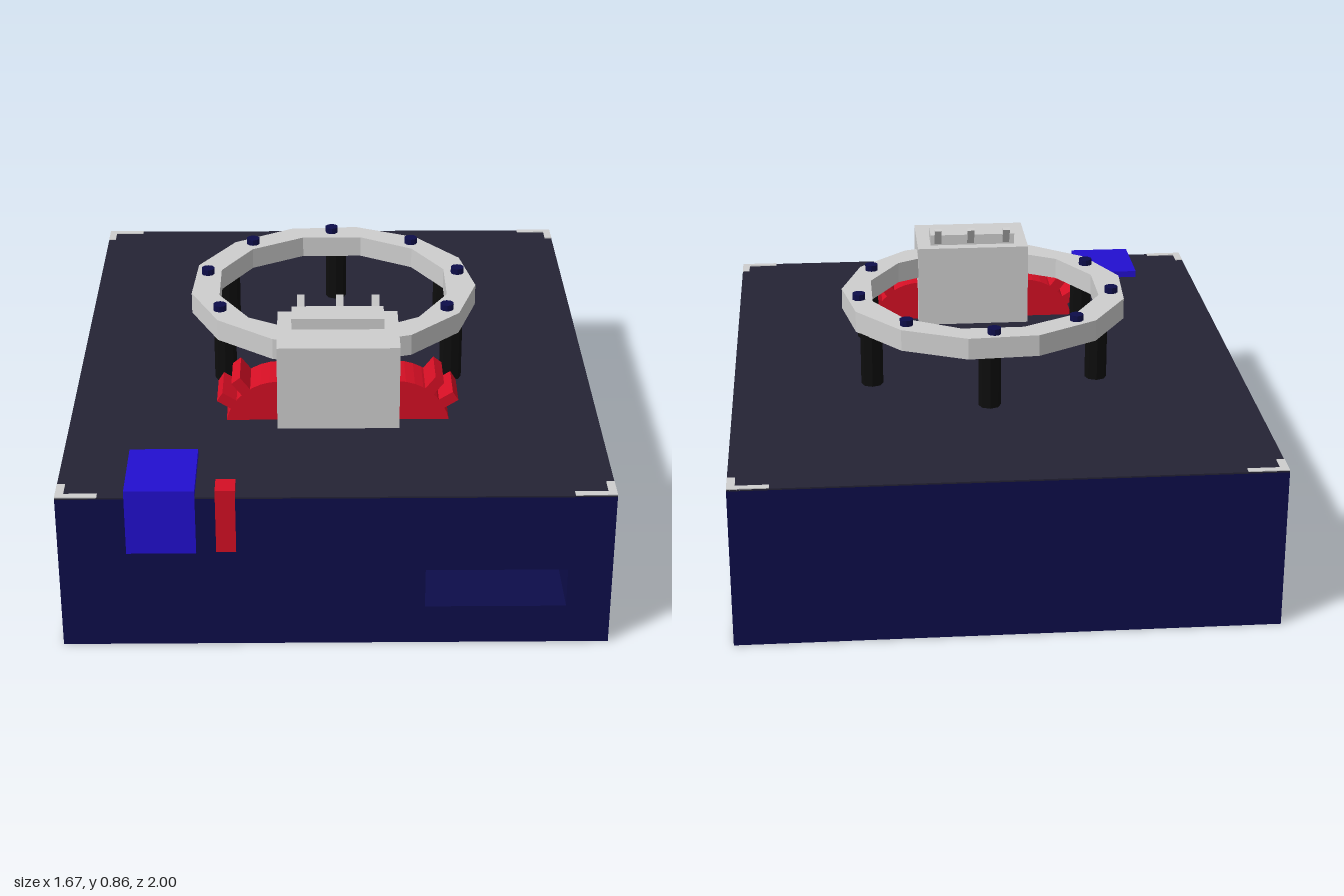
import * as THREE from 'three';

const mat = (name, color, flat = true) => {
  const m = new THREE.MeshStandardMaterial({ color });
  m.name = name;
  m.flatShading = flat;
  return m;
};

export function createModel() {
  const navy = mat('navy', 0x0d0d4a);
  const charcoal = mat('charcoal', 0x242335);
  const grey = mat('light grey', 0xcecece);
  const red = mat('red', 0xd50f24);
  const blue = mat('blue', 0x220fd0);
  const black = mat('black', 0x0d0d0d);

  const root = new THREE.Group();
  root.name = 'ringMachine';

  const add = (name, geometry, material, x = 0, y = 0, z = 0, parent = root) => {
    const mesh = new THREE.Mesh(geometry, material);
    mesh.name = name;
    mesh.position.set(x, y, z);
    parent.add(mesh);
    return mesh;
  };
  // box given by its limits on each axis
  const box = (name, material, [x0, x1], [y0, y1], [z0, z1], parent = root) =>
    add(name, new THREE.BoxGeometry(x1 - x0, y1 - y0, z1 - z0), material,
      (x0 + x1) / 2, (y0 + y1) / 2, (z0 + z1) / 2, parent);
  const extrude = (shape, depth) =>
    new THREE.ExtrudeGeometry(shape, { depth, bevelEnabled: false });
  const polygon = (sides, radius, startDeg) => Array.from({ length: sides }, (_, i) => {
    const a = THREE.MathUtils.degToRad(startDeg) + i * 2 * Math.PI / sides;
    return new THREE.Vector2(radius * Math.cos(a), radius * Math.sin(a));
  });
  const rect = (x0, x1, y0, y1) => [[x0, y0], [x1, y0], [x1, y1], [x0, y1]]
    .map(([x, y]) => new THREE.Vector2(x, y));

  // Base: solid rear body and a front wall with a recessed slot
  const W = 0.835, H = 0.512, slotZ = 0.76;
  box('baseBody', navy, [-W, W], [0, H], [-1, slotZ]);
  const wall = new THREE.Shape(rect(-W, W, 0, H));
  wall.holes.push(new THREE.Path(rect(0.27, 0.7, 0.13, 0.26)));
  add('baseFrontWall', extrude(wall, 1 - slotZ), navy, 0, 0, slotZ);
  box('deck', charcoal, [-W, W], [H, 0.517], [-1, 1]);

  // Thin L-shaped corner trims on the deck
  for (const sx of [-1, 1]) for (const sz of [-1, 1]) {
    const span = (s, a, b) => s > 0 ? [a, b] : [-b, -a];
    const trim = new THREE.Group();
    trim.name = 'cornerTrim';
    root.add(trim);
    box('cornerTrimLong', grey, span(sx, 0.71, W), [0.515, 0.52], span(sz, 0.978, 1), trim);
    box('cornerTrimShort', grey, span(sx, 0.81, W), [0.515, 0.52], span(sz, 0.92, 0.978), trim);
  }

  // Faceted ring, bolted on top and carried by posts
  const ring = new THREE.Shape(polygon(13, 0.474, 79.6));
  ring.holes.push(new THREE.Path(polygon(12, 0.387, 15)));
  add('ring', extrude(ring, 0.07), grey, 0, 0.69, 0).rotation.x = -Math.PI / 2;

  const around = (count, radius, fn) => {
    for (let i = 0; i < count; i++) {
      const a = Math.PI / 2 + i * 2 * Math.PI / count;
      const x = radius * Math.cos(a), z = -radius * Math.sin(a);
      if (z < 0.3) fn(x, z); // the block replaces the front positions
    }
  };
  const boltGeo = new THREE.CylinderGeometry(0.022, 0.022, 0.02, 10);
  around(9, 0.425, (x, z) => add('ringBolt', boltGeo, navy, x, 0.77, z));
  const postGeo = new THREE.CylinderGeometry(0.036, 0.036, 0.175, 8);
  around(6, 0.425, (x, z) => add('ringPost', postGeo, black, x + 0.015, 0.6035, z));

  // Control block with cap and three tilted levers
  const block = new THREE.Group();
  block.name = 'controlBlock';
  root.add(block);
  box('blockBody', grey, [-0.18, 0.203], [0.515, 0.797], [0.307, 0.575], block);
  box('blockCap', grey, [-0.135, 0.157], [0.797, 0.833], [0.345, 0.44], block);
  for (const x of [-0.105, 0.018, 0.132]) {
    add('lever', new THREE.BoxGeometry(0.024, 0.075, 0.012), grey, x, 0.828, 0.337, block)
      .rotation.x = -0.52;
  }

  // Half gears on both sides of the block, cut off at the deck
  for (const side of [-1, 1]) {
    const gear = new THREE.Group();
    gear.name = side > 0 ? 'leftGear' : 'rightGear';
    gear.position.set(0.01 + side * 0.185, 0.482, 0.37);
    root.add(gear);
    const a0 = Math.asin(0.033 / 0.17);
    const pts = [[0, 0.033]];
    for (let i = 0; i <= 8; i++) {
      const a = a0 + (Math.PI / 2 - a0) * i / 8;
      pts.push([0.17 * Math.cos(a), 0.17 * Math.sin(a)]);
    }
    const outline = pts.map(([x, y]) => new THREE.Vector2(side * x, y));
    add('gearDisc', extrude(new THREE.Shape(outline), 0.145), red, 0, 0, 0, gear);
    for (const deg of [32, 52]) {
      const a = THREE.MathUtils.degToRad(deg);
      add('gearTooth', new THREE.BoxGeometry(0.07, 0.034, 0.145), red,
        side * 0.185 * Math.cos(a), 0.185 * Math.sin(a), 0.0725, gear).rotation.z = side * a;
    }
  }

  // Coloured blocks set into the front edge
  box('blueBlock', blue, [-0.63, -0.42], [0.325, 0.54], [0.745, 1.002]);
  box('redBlock', red, [-0.36, -0.3], [0.33, 0.54], [0.93, 1.002]);

  return root;
}
